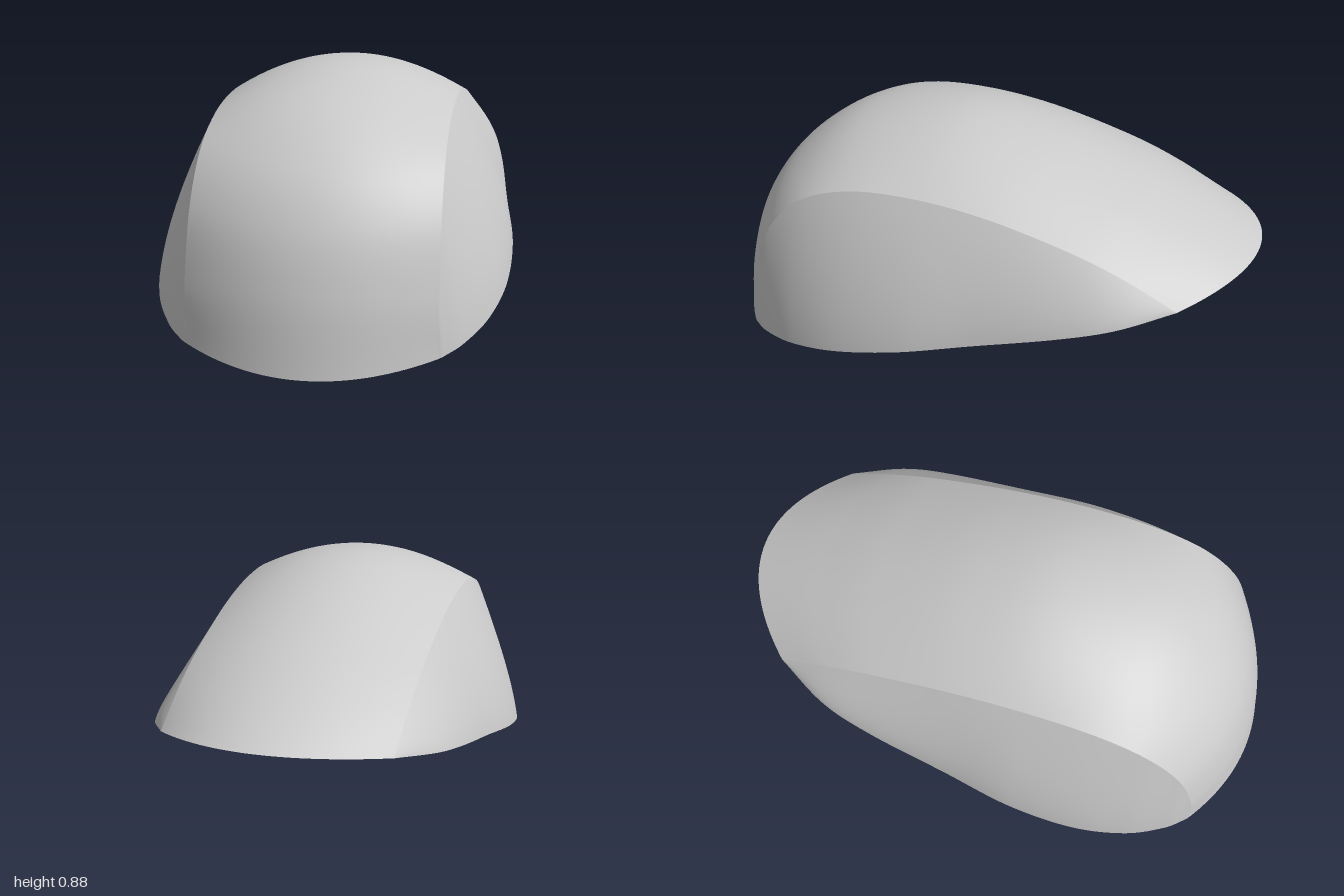
import * as THREE from 'three';

// Height of the slanted open rim at depth z
const rimY = (z) => 0.27 - 0.268 * z;

// Front-to-back stations: [centre z, centre y, crease x, crease z, crease y, rim x]
const stations = [
  [1.0, 0.002, 0.43, 0.85, 0.042, 0.43],
  [0.96, 0.27, 0.428, 0.83, 0.25, 0.452],
  [0.885, 0.49, 0.424, 0.76, 0.48, 0.51],
  [0.75, 0.665, 0.42, 0.62, 0.645, 0.582],
  [0.52, 0.81, 0.416, 0.42, 0.728, 0.63],
  [0.17, 0.878, 0.414, 0.17, 0.748, 0.635],
  [-0.15, 0.84, 0.412, -0.1, 0.722, 0.598],
  [-0.5, 0.735, 0.41, -0.4, 0.65, 0.558],
  [-0.75, 0.64, 0.408, -0.6, 0.577, 0.508],
  [-1.0, 0.538, 0.405, -0.79, 0.482, 0.405],
];

const spline = (pick) =>
  new THREE.CatmullRomCurve3(stations.map((s) => new THREE.Vector3(...pick(s))), false, 'catmullrom', 0.5);
const centreLine = spline(([z, y]) => [0, y, z]);
const creaseLine = spline(([, , x, z, y]) => [x, y, z]);
const rimLine = spline(([, , , z, , x]) => [x, rimY(z), z]);

const material = new THREE.MeshStandardMaterial({ color: 0xcccccc, side: THREE.DoubleSide });

// Bends a flat grid into a smooth panel; v runs from front to back
function panel(name, columns, rows, surface) {
  const geometry = new THREE.PlaneGeometry(1, 1, columns, rows);
  const { position, uv } = geometry.attributes;
  for (let i = 0; i < position.count; i++) {
    const p = surface(uv.getX(i), uv.getY(i));
    position.setXYZ(i, p.x, p.y, p.z);
  }
  geometry.computeVertexNormals();
  const mesh = new THREE.Mesh(geometry, material);
  mesh.name = name;
  return mesh;
}

// Domed middle: falls off parabolically from centre line to creases
function crownSurface(u, v) {
  const s = u * 2 - 1;
  const crease = creaseLine.getPoint(v);
  const p = centreLine.getPoint(v).lerp(crease, s * s);
  p.x = s * crease.x;
  return p;
}

// Side wall: bulging section from crease down to rim
function sideSurface(u, v) {
  const top = creaseLine.getPoint(v);
  const bottom = rimLine.getPoint(v);
  const control = new THREE.Vector3(
    THREE.MathUtils.lerp(top.x, bottom.x, 0.82),
    THREE.MathUtils.lerp(top.y, bottom.y, 0.6),
    top.z,
  );
  return new THREE.QuadraticBezierCurve3(top, control, bottom).getPoint(u);
}

export function createModel() {
  const shell = new THREE.Group();
  shell.name = 'openShell';
  shell.add(panel('crown', 48, 96, crownSurface));
  shell.add(panel('leftSide', 24, 96, sideSurface));
  shell.add(panel('rightSide', 24, 96, (u, v) => {
    const p = sideSurface(1 - u, v);
    p.x *= -1;
    return p;
  }));
  return shell;
}
